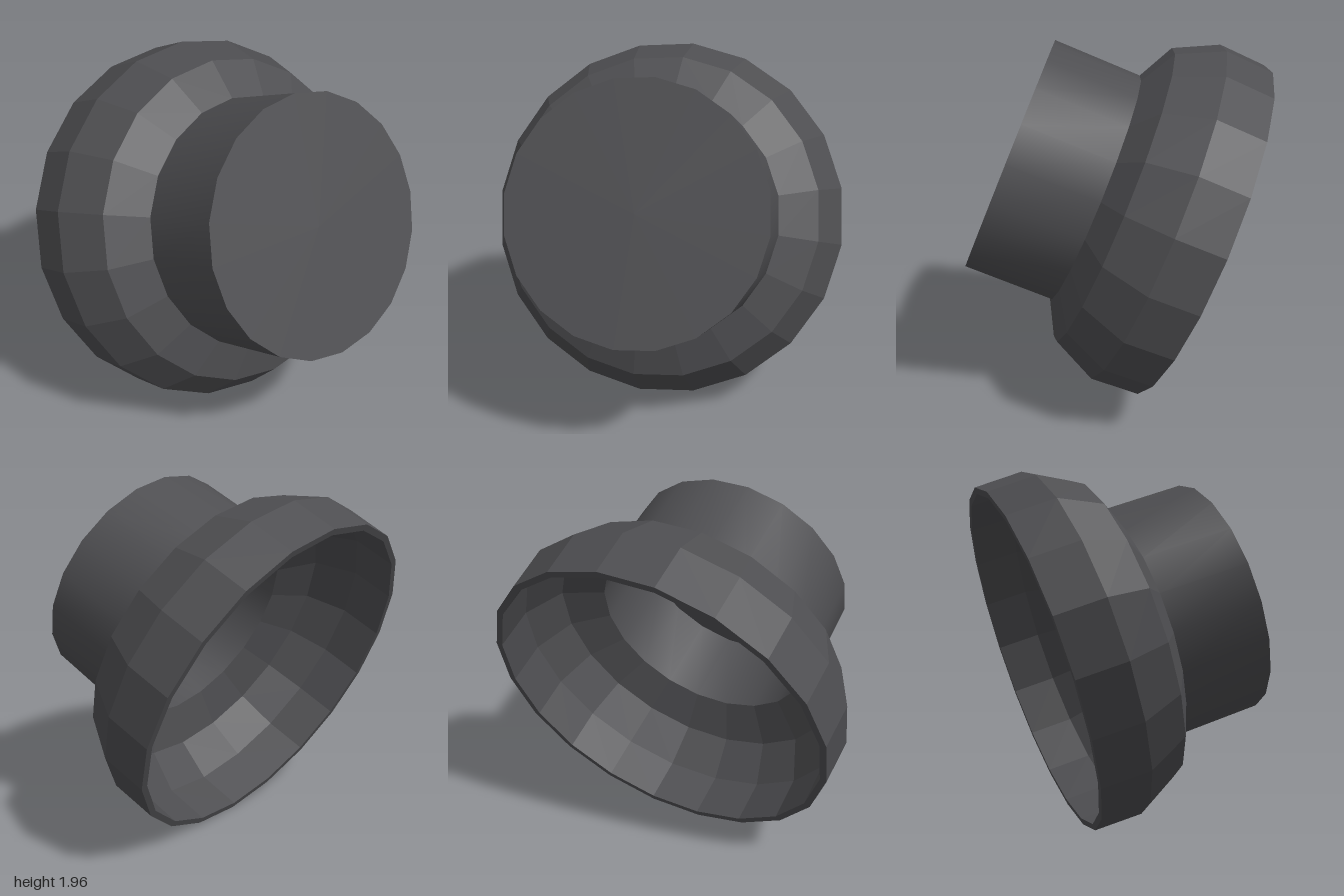
import * as THREE from 'three';
import { toCreasedNormals } from 'three/addons/utils/BufferGeometryUtils.js';

const SIDES = 20;

export function createModel() {
  const model = new THREE.Group();
  model.name = 'flaredCup';
  const darkGrey = new THREE.MeshStandardMaterial({ color: 0x4e4e51 });
  darkGrey.name = 'darkGrey';

  // The whole part is turned about one tilted axis; y = 0 is the closed end
  const body = new THREE.Group();
  body.name = 'tiltedBody';
  model.add(body);

  const turned = (name, profile, crease) => {
    const points = profile.map(([r, y]) => new THREE.Vector2(r, y));
    const geometry = toCreasedNormals(new THREE.LatheGeometry(points, SIDES), crease);
    const mesh = new THREE.Mesh(geometry, darkGrey);
    mesh.name = name;
    body.add(mesh);
  };

  // Smooth round neck, hollow inside
  turned('neckOutside', [[0.668, -0.5], [0.668, 0]], 0.6);
  turned('neckInside', [[0.63, -0.04], [0.63, -0.52]], 0.6);

  // Flat closed end, outer and inner faces
  turned('endCap', [[0.668, 0], [0, 0]], 0.1);
  turned('endCapInside', [[0, -0.04], [0.63, -0.04]], 0.1);

  // Faceted flared bell with a thin rim
  turned('bell', [
    [0.63, -0.52], [0.845, -0.635], [0.955, -0.86], [0.95, -1.12],
    [0.986, -1.12], [0.995, -0.85], [0.874, -0.607], [0.668, -0.5],
  ], 0.1);

  // Aim the axis and set the roll of the facets
  const axis = new THREE.Vector3(0.732, 0.39, 0.557).normalize();
  const side = new THREE.Vector3(0.716, -0.023, -0.698);
  side.addScaledVector(axis, -side.dot(axis)).normalize();
  const across = new THREE.Vector3().crossVectors(axis, side);
  body.quaternion.setFromRotationMatrix(new THREE.Matrix4().makeBasis(across, axis, side));
  body.position.set(0.515, 1.355, 0.44);

  return model;
}
